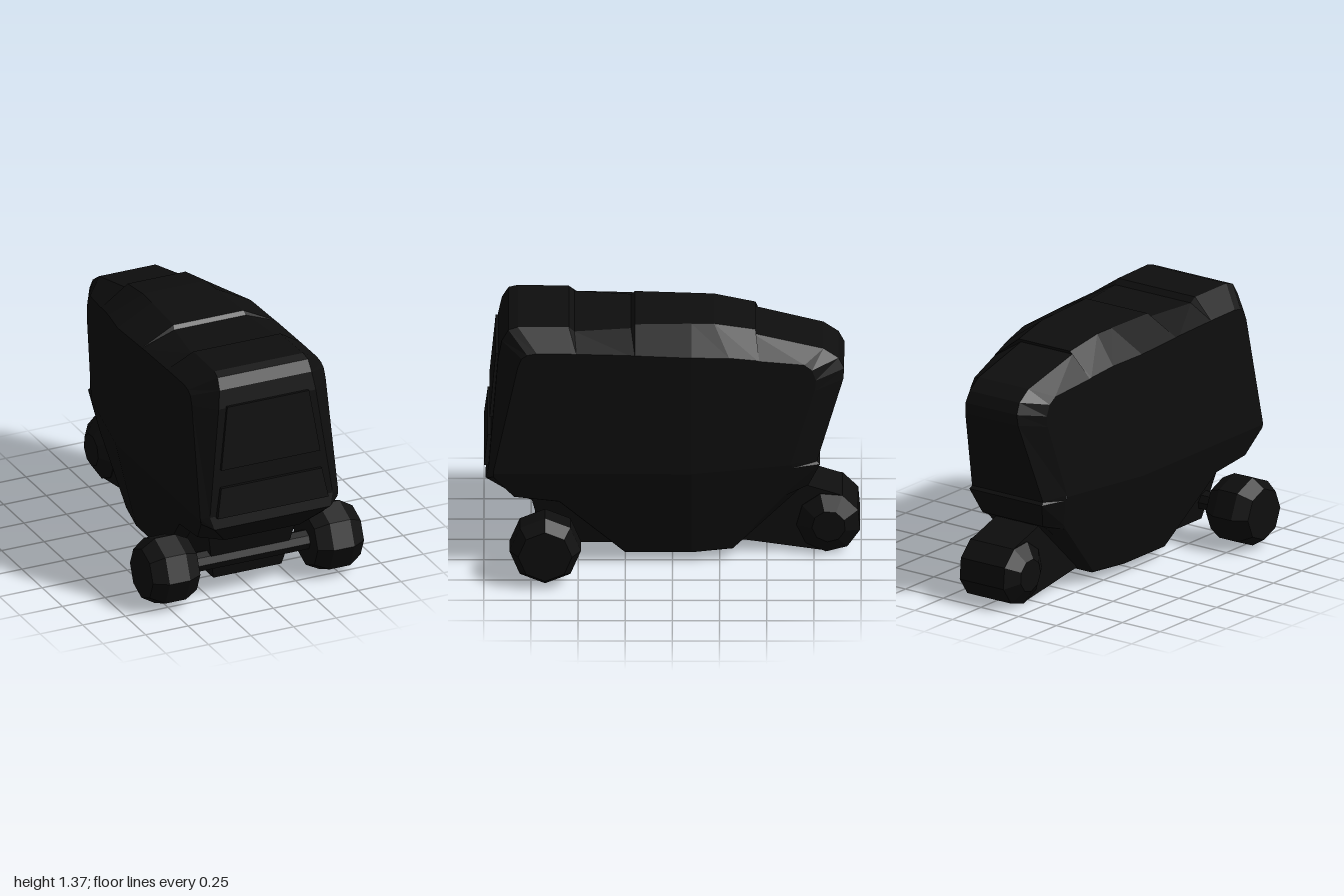
import * as THREE from 'three';

const DARK = new THREE.MeshStandardMaterial({ color: 0x0e0e0e, flatShading: true });
DARK.name = 'black';

const FOLD_Z = -0.1, WAIST_Y = 0.58;

// Half width of the side wall: tapers to the rear, tucks in below the waist
function sideX(z, y) {
  const taper = Math.max(0, FOLD_Z - z) * 0.21;
  const lean = y < WAIST_Y ? (WAIST_Y - y) * 0.24 : (y - WAIST_Y) * 0.02;
  return 0.405 - taper - lean;
}

// Outline stations: [edge z, edge y, edge half width, side z, side y]
const OUTLINE = [
  [0.975, 0.6, 0.36, 0.95, 0.59],
  [0.925, 1.2, 0.285, 0.82, 1.2],
  [0.905, 1.3, 0.27, 0.8, 1.25],
  [0.87, 1.36, 0.265, 0.77, 1.27],
  [0.82, 1.375, 0.26, 0.72, 1.28],
  [0.55, 1.372, 0.255, 0.54, 1.278],
  [0.52, 1.345, 0.25, 0.51, 1.277],
  [0.22, 1.345, 0.21, 0.23, 1.27],
  [0.2, 1.365, 0.205, 0.2, 1.268],
  [-0.1, 1.362, 0.19, -0.1, 1.255],
  [-0.22, 1.36, 0.185, -0.3, 1.235],
  [-0.44, 1.32, 0.17, -0.45, 1.205],
  [-0.42, 1.298, 0.17, -0.46, 1.2],
  [-0.8, 1.205, 0.165, -0.7, 1.155],
  [-0.88, 1.15, 0.165, -0.74, 1.12],
  [-0.91, 1.09, 0.17, -0.76, 1.06],
  [-0.905, 1.03, 0.175, -0.755, 1.0],
  [-0.765, 0.575, 0.235, -0.63, 0.59],
  [-0.782, 0.56, 0.24, -0.635, 0.56],
  [-0.72, 0.42, 0.2, -0.61, 0.41],
  [-0.68, 0.4, 0.19, -0.59, 0.38],
  [-0.32, 0.06, 0.225, -0.32, 0.066],
  [-0.1, 0.06, 0.275, -0.1, 0.066],
  [0.25, 0.06, 0.275, 0.25, 0.066],
  [0.6, 0.39, 0.345, 0.6, 0.4],
  [0.86, 0.39, 0.22, 0.84, 0.43],
  [0.99, 0.53, 0.34, 0.95, 0.56],
];

// Keeps the part of a polygon where side(p) >= 0
function clip(poly, side) {
  const out = [];
  poly.forEach((a, i) => {
    const b = poly[(i + 1) % poly.length], da = side(a), db = side(b);
    if (da >= 0) out.push(a);
    if ((da > 0 && db < 0) || (da < 0 && db > 0)) out.push(a.clone().lerp(b, da / (da - db)));
  });
  return out;
}

function geometryFrom(triangles) {
  const g = new THREE.BufferGeometry();
  g.setAttribute('position', new THREE.Float32BufferAttribute(triangles.flat(2), 3));
  g.computeVertexNormals();
  return g;
}

function bodyGeometry() {
  const tris = [];
  const flip = ([x, y, z]) => [-x, y, z];
  const both = (a, b, c) => tris.push([a, b, c], [flip(a), flip(c), flip(b)]);
  OUTLINE.forEach((s, i) => {
    const t = OUTLINE[(i + 1) % OUTLINE.length];
    const p = [s[2], s[1], s[0]], pn = [t[2], t[1], t[0]];
    const q = [sideX(s[3], s[4]), s[4], s[3]], qn = [sideX(t[3], t[4]), t[4], t[3]];
    // centre band across the body
    tris.push([p, pn, flip(pn)], [p, flip(pn), flip(p)]);
    // bevel down to the side wall
    both(p, q, qn);
    both(p, qn, pn);
  });
  // side walls, split along the fold and the waist so each facet is flat
  const wall = OUTLINE.map((s) => new THREE.Vector2(s[3], s[4]));
  for (const sz of [1, -1]) for (const sy of [1, -1]) {
    const part = clip(clip(wall, (p) => sz * (p.x - FOLD_Z)), (p) => sy * (p.y - WAIST_Y));
    for (const face of THREE.ShapeUtils.triangulateShape(part, [])) {
      const [a, b, c] = face.map((k) => part[k]);
      const v = [a, b, c].map((p) => [sideX(p.x, p.y), p.y, p.x]);
      const n = (b.y - a.y) * (c.x - a.x) - (b.x - a.x) * (c.y - a.y);
      if (n > 0) both(v[0], v[1], v[2]);
      else both(v[0], v[2], v[1]);
    }
  }
  return geometryFrom(tris);
}

// Tapered block between two levels, each [half width, y, back z, front z]
function blockGeometry(low, high) {
  const g = new THREE.BoxGeometry(2, 1, 1);
  const pos = g.attributes.position;
  for (let i = 0; i < pos.count; i++) {
    const l = pos.getY(i) > 0 ? high : low;
    pos.setXYZ(i, pos.getX(i) * l[0], l[1], pos.getZ(i) > 0 ? l[3] : l[2]);
  }
  g.computeVertexNormals();
  return g;
}

// Wheel on the x axis from [radius, x] profile points
function wheelGeometry(profile, sides, phase = 0) {
  const points = profile.map(([r, x]) => new THREE.Vector2(r, x));
  return new THREE.LatheGeometry(points, sides, phase).rotateZ(-Math.PI / 2);
}

export function createModel() {
  const model = new THREE.Group();
  model.name = 'vehicle';
  const add = (name, geometry, x = 0, y = 0, z = 0) => {
    const mesh = new THREE.Mesh(geometry, DARK);
    mesh.name = name;
    mesh.position.set(x, y, z);
    model.add(mesh);
    return mesh;
  };

  add('body', bodyGeometry());

  // raised front panels
  add('upperFrontPanel', blockGeometry([0.29, 0.86, 0.94, 0.97], [0.24, 1.21, 0.9, 0.938]));
  add('lowerFrontPanel', blockGeometry([0.325, 0.595, 0.95, 1.0], [0.295, 0.76, 0.94, 0.98]));

  // front axle block, axle and wheels
  add('frontAxleBlock', blockGeometry([0.2, 0.085, 0.2, 0.68], [0.27, 0.42, 0.3, 0.76]));
  add('frontAxle', new THREE.CylinderGeometry(0.055, 0.055, 0.72, 8).rotateZ(Math.PI / 2), 0, 0.195, 0.675);
  const frontWheel = [[0, -0.137], [0.15, -0.137], [0.19, -0.06], [0.19, 0.06], [0.143, 0.137], [0, 0.137]];
  for (const s of [1, -1]) {
    const wheel = add(s > 0 ? 'leftFrontWheel' : 'rightFrontWheel',
      wheelGeometry(frontWheel, 8), s * 0.482, 0.195, 0.675);
    if (s < 0) wheel.rotation.y = Math.PI;
  }

  // rear wheel with its swing arm
  const rearWheel = [[0, -0.2], [0.09, -0.2], [0.172, -0.145], [0.172, 0.145], [0.09, 0.2], [0, 0.2]];
  add('rearWheel', wheelGeometry(rearWheel, 9, THREE.MathUtils.degToRad(165)), 0, 0.175, -0.828);
  const arm = new THREE.Shape([
    [0.32, 0.08], [0.81, 0.008], [0.92, 0.12], [0.9, 0.33], [0.68, 0.4], [0.5, 0.4],
  ].map(([z, y]) => new THREE.Vector2(z, y)));
  const armGeometry = new THREE.ExtrudeGeometry(arm, { depth: 0.28, bevelEnabled: false });
  add('rearSwingArm', armGeometry.translate(0, 0, -0.14).rotateY(Math.PI / 2));

  return model;
}
